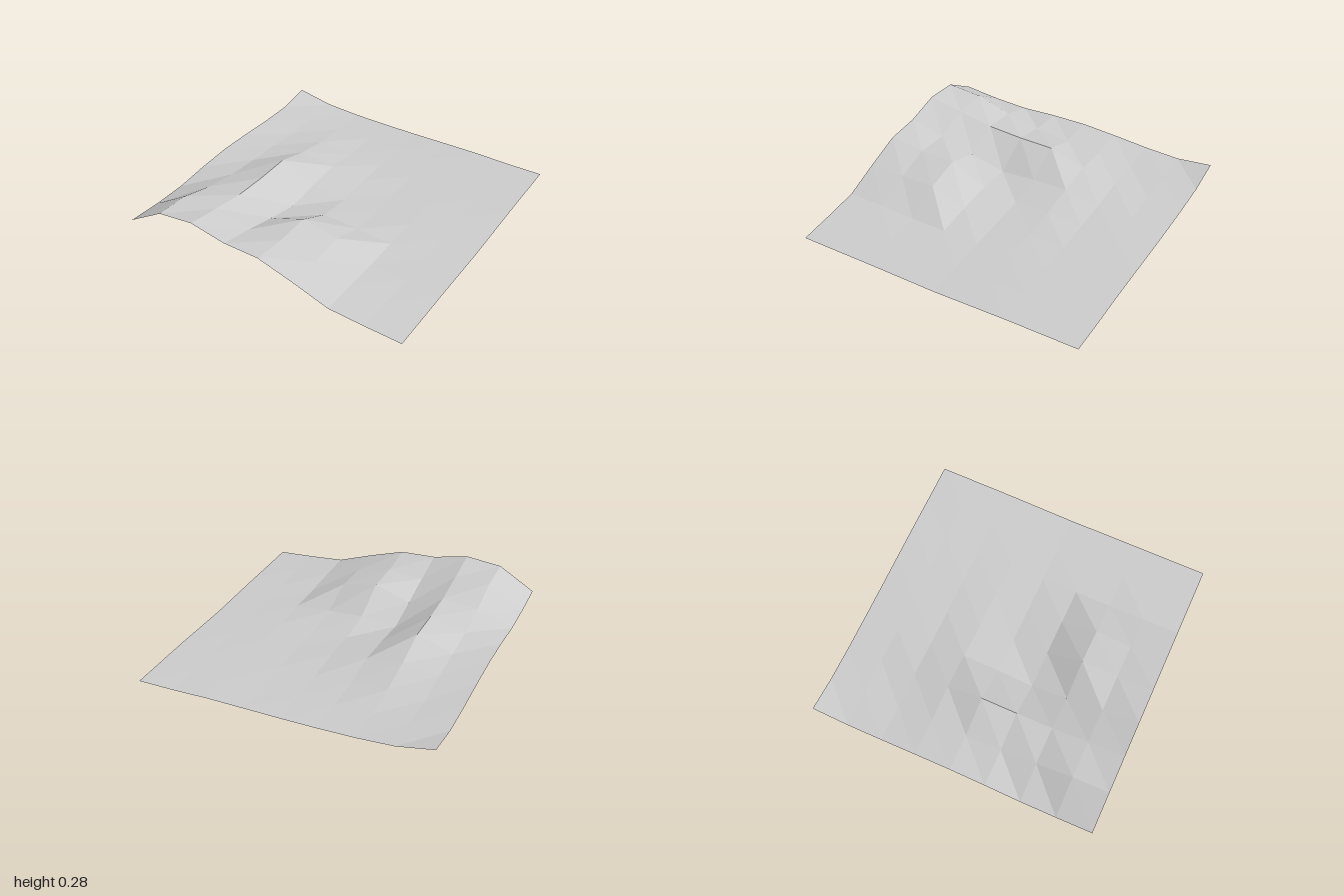
import * as THREE from 'three';

// Terrain heights in hundredths: rows run from back to front, columns from -x to +x
const HEIGHTS = [
  [8, 3, 1.5, 1, 1, 1.3, 1.5, 1, 1],
  [5, 3.5, 2.5, 2, 1.8, 1.5, 1.5, 1.2, 1],
  [6, 4, 5, 3, 2, 1.8, 1.5, 1.2, 1],
  [8, 7, 10, 7, 4, 2.5, 2, 1.2, 0.5],
  [9.5, 9, 17.5, 6, 3, 2, 1.8, 1, 0],
  [9, 11.5, 17.8, 4, 6.5, 5, 3, 1.5, 0.5],
  [7.5, 16.5, 19.3, 10, 19, 13.8, 3.2, 2, 1],
  [8.5, 24, 23.7, 17, 19, 13, 4.5, 2.5, 1.2],
  [11, 26, 28.5, 23, 22, 14, 5, 3, 1.5],
];

export function createModel() {
  const group = new THREE.Group();
  group.name = 'terrain';

  const ground = new THREE.MeshStandardMaterial({ color: 0xcccccc, flatShading: true, side: THREE.DoubleSide });
  ground.name = 'light grey ground';

  // Faceted sheet: a flat 8 x 8 grid lifted to the height of each grid point
  const cells = HEIGHTS.length - 1;
  const geometry = new THREE.PlaneGeometry(2, 2, cells, cells).rotateX(-Math.PI / 2);
  const position = geometry.attributes.position;
  HEIGHTS.flat().forEach((height, i) => position.setY(i, height / 100));
  geometry.computeVertexNormals();

  const sheet = new THREE.Mesh(geometry, ground);
  sheet.name = 'hillySurface';
  group.add(sheet);
  return group;
}
